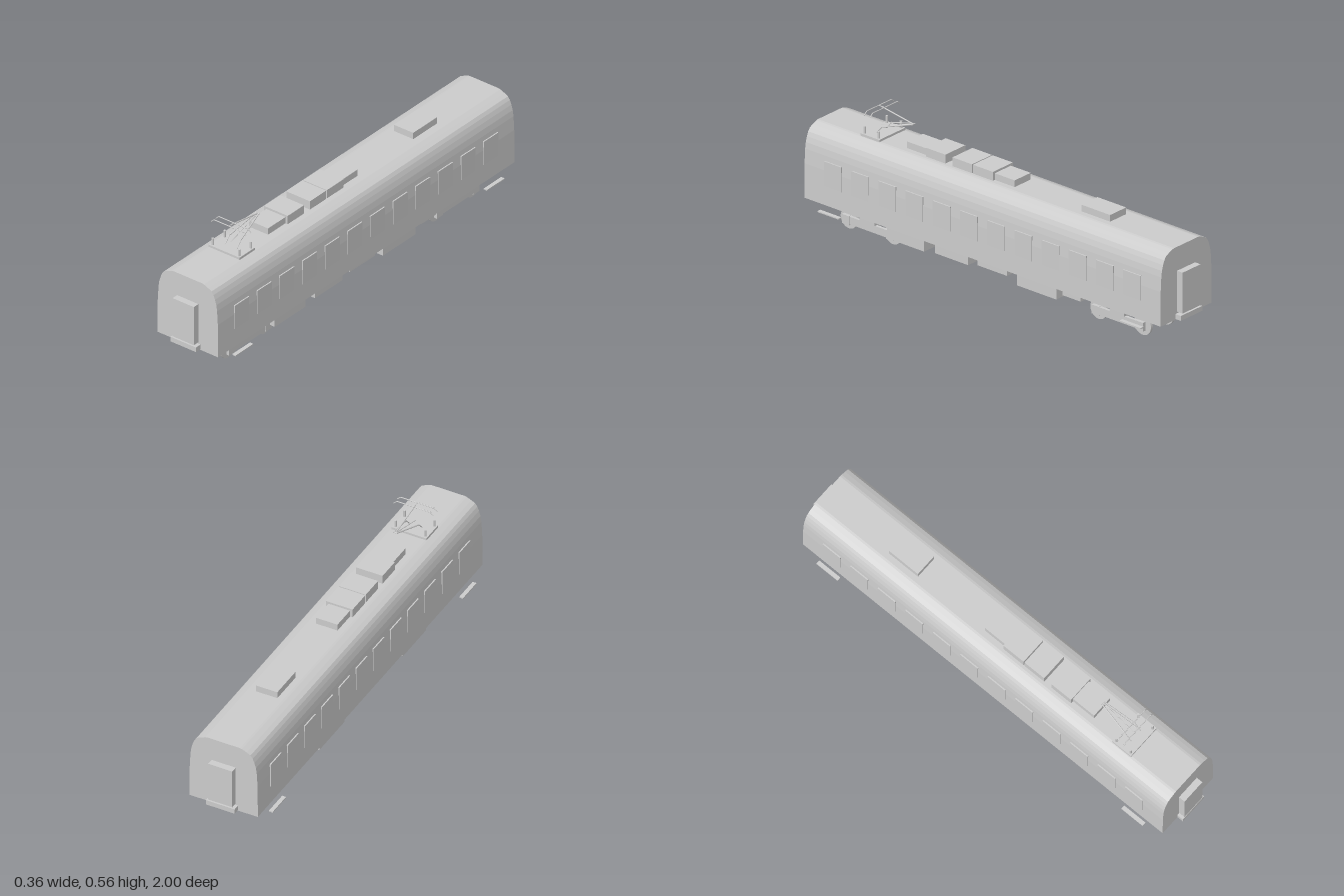
import * as THREE from 'three';

const grey = new THREE.MeshStandardMaterial({ color: 0xcccccc, side: THREE.DoubleSide });

function add(parent, name, geometry, x = 0, y = 0, z = 0) {
  const mesh = new THREE.Mesh(geometry, grey);
  mesh.name = name;
  mesh.position.set(x, y, z);
  parent.add(mesh);
  return mesh;
}

// Box given by its limits on each axis
function box(parent, name, x0, x1, y0, y1, z0, z1) {
  return add(parent, name,
    new THREE.BoxGeometry(Math.abs(x1 - x0), Math.abs(y1 - y0), Math.abs(z1 - z0)),
    (x0 + x1) / 2, (y0 + y1) / 2, (z0 + z1) / 2);
}

// Thin round bar between two points
function bar(parent, name, a, b, r) {
  const p = new THREE.Vector3(...a), q = new THREE.Vector3(...b);
  const mesh = add(parent, name, new THREE.CylinderGeometry(r, r, p.distanceTo(q), 8));
  mesh.position.copy(p).add(q).multiplyScalar(0.5);
  mesh.quaternion.setFromUnitVectors(new THREE.Vector3(0, 1, 0), q.sub(p).normalize());
}

// Car body: side wall curving into a flat roof, extruded along the car
function buildBody(parent) {
  const half = [[0.159, 0.115], [0.158, 0.27], [0.154, 0.335], [0.15, 0.363], [0.143, 0.387],
    [0.135, 0.406], [0.125, 0.42], [0.107, 0.429], [0.085, 0.438], [0.075, 0.44]];
  const outline = [...half, ...half.map(([x, y]) => [-x, y]).reverse()];
  const shape = new THREE.Shape(outline.map(([x, y]) => new THREE.Vector2(x, y)));
  const geometry = new THREE.ExtrudeGeometry(shape, { depth: 1.94, bevelEnabled: false });
  add(parent, 'body', geometry, 0, 0, -0.97);

  // Side windows and end doors
  for (const s of [-1, 1]) {
    for (let i = 0; i < 12; i++) {
      const z = -0.815 + i * 0.1482;
      box(parent, 'sideWindow', s * 0.15, s * 0.161, 0.2, 0.312, z - 0.047, z + 0.047);
    }
    box(parent, 'endDoor', -0.056, 0.056, 0.148, 0.332, s * 0.965, s);
    box(parent, 'endSill', -0.067, 0.067, 0.119, 0.141, s * 0.965, s);
  }
}

// Equipment boxes on the roof: half width, top, rear, front
function buildRoof(parent) {
  const units = [[0.05, 0.47, -0.6, -0.443], [0.05, 0.47, -0.08, 0.028], [0.062, 0.48, 0.028, 0.137],
    [0.062, 0.48, 0.142, 0.248], [0.062, 0.48, 0.287, 0.393], [0.05, 0.47, 0.393, 0.507]];
  for (const [w, top, z0, z1] of units) box(parent, 'roofUnit', -w, w, 0.435, top, z0, z1);
}

function buildPantograph(parent) {
  const group = new THREE.Group();
  group.name = 'pantograph';
  parent.add(group);
  box(group, 'base', -0.081, 0.081, 0.438, 0.45, 0.63, 0.732);
  for (const s of [-1, 1]) {
    for (const z of [0.643, 0.72]) {
      add(group, 'insulator', new THREE.CylinderGeometry(0.0055, 0.0055, 0.032, 12), s * 0.069, 0.465, z);
    }
    bar(group, 'lowerArm', [s * 0.03, 0.482, 0.66], [s * 0.007, 0.528, 0.515], 0.003);
    bar(group, 'armFoot', [s * 0.03, 0.448, 0.69], [s * 0.03, 0.482, 0.66], 0.002);
  }
  bar(group, 'elbow', [-0.01, 0.528, 0.515], [0.01, 0.528, 0.515], 0.003);
  bar(group, 'upperArm', [0, 0.528, 0.515], [0, 0.555, 0.687], 0.003);
  bar(group, 'controlRod', [0, 0.475, 0.69], [0, 0.525, 0.52], 0.0015);
  bar(group, 'headLink', [0, 0.556, 0.67], [0, 0.556, 0.702], 0.002);
  // Two contact bars with drooping ends
  for (const z of [0.67, 0.702]) {
    bar(group, 'contactBar', [-0.077, 0.557, z], [0.077, 0.557, z], 0.0022);
    for (const s of [-1, 1]) bar(group, 'barHorn', [s * 0.077, 0.557, z], [s * 0.092, 0.543, z], 0.0022);
  }
}

// Equipment cases hung under the floor: bottom, rear, front
function buildUnderfloor(parent) {
  const cases = [[0.045, 0.35, 0.553], [0.056, 0.11, 0.29], [0.071, -0.102, 0.06],
    [0.045, -0.37, -0.155], [0.075, -0.503, -0.405]];
  for (const s of [-1, 1]) {
    for (const [bottom, z0, z1] of cases) {
      box(parent, 'underfloorCase', s * 0.022, s * 0.122, bottom, 0.118, z0, z1);
    }
    for (const t of [-1, 1]) {
      box(parent, 'step', s * 0.162, s * 0.18, 0.084, 0.089, t * 0.765, t * 0.88);
    }
  }
}

function buildBogie(parent, z) {
  const group = new THREE.Group();
  group.name = 'bogie';
  group.position.z = z;
  parent.add(group);
  for (const t of [-1, 1]) {
    const axleZ = t * 0.12;
    bar(group, 'axle', [-0.09, 0.045, axleZ], [0.09, 0.045, axleZ], 0.007);
    for (const s of [-1, 1]) {
      const wheel = add(group, 'wheel', new THREE.CylinderGeometry(0.045, 0.045, 0.012, 32), s * 0.07, 0.045, axleZ);
      wheel.rotation.z = Math.PI / 2;
      box(group, 'axleBox', s * 0.082, s * 0.097, 0.026, 0.066, axleZ - 0.02, axleZ + 0.02);
    }
  }
  for (const s of [-1, 1]) {
    box(group, 'sideFrame', s * 0.083, s * 0.096, 0.031, 0.065, -0.13, 0.13);
    box(group, 'suspension', s * 0.079, s * 0.101, 0.065, 0.116, -0.04, 0.04);
  }
  box(group, 'crossBeam', -0.085, 0.085, 0.052, 0.088, -0.035, 0.035);
}

export function createModel() {
  const model = new THREE.Group();
  model.name = 'railCar';
  buildBody(model);
  buildRoof(model);
  buildPantograph(model);
  buildUnderfloor(model);
  for (const z of [-0.68, 0.68]) buildBogie(model, z);
  return model;
}
